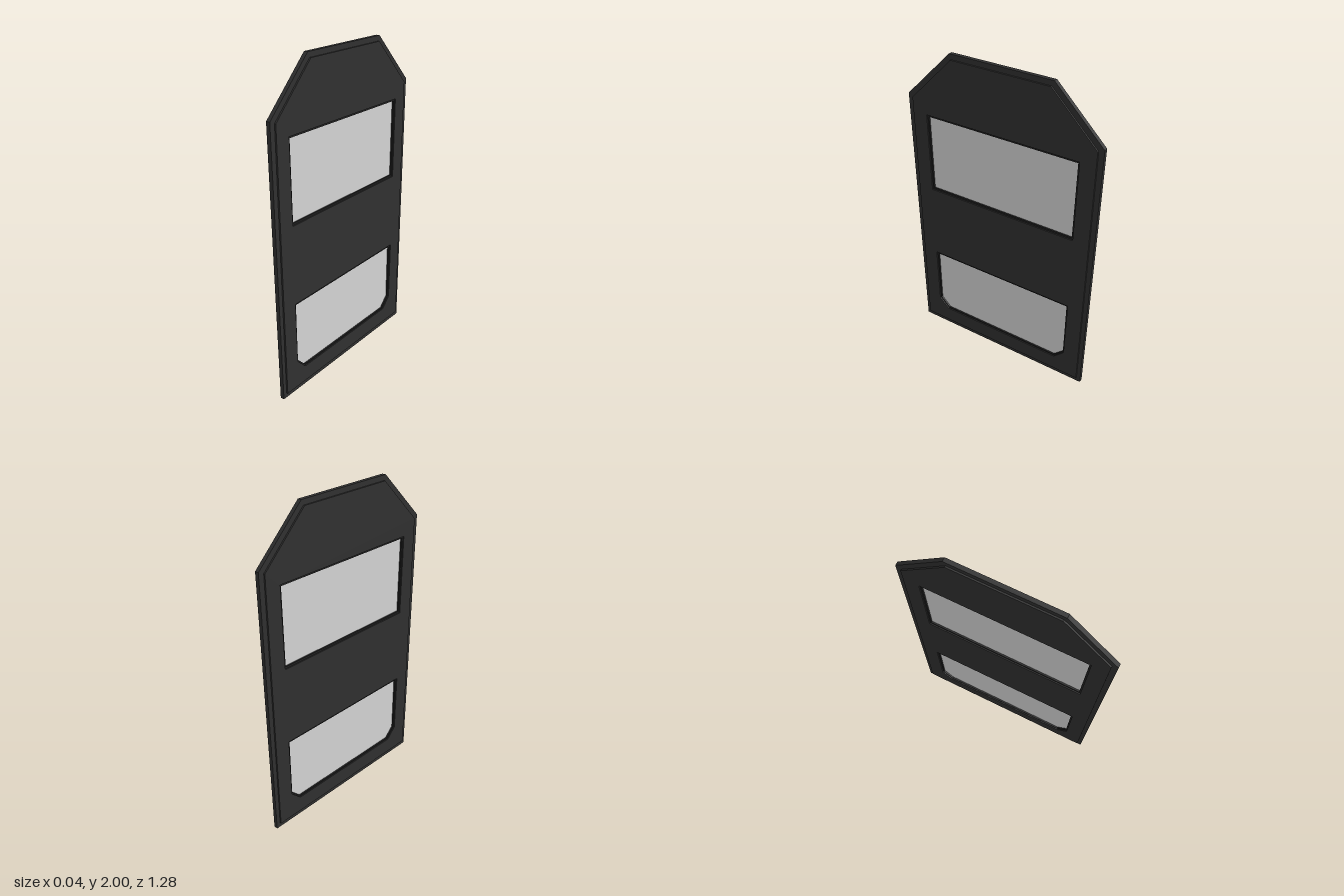
import * as THREE from 'three';

// Closed loop, mirrored about the centre line, from right-half points [across, up]
const loop = (half) => [
  ...half.map(([a, y]) => new THREE.Vector2(a, y)),
  ...half.slice().reverse().map(([a, y]) => new THREE.Vector2(-a, y)),
];

const OUTER = [[0.613, 0], [0.638, 1.695], [0.33, 2]];
const INNER = [[0.588, 0.03], [0.604, 1.68], [0.316, 1.968]];
const UPPER_OPENING = [[0.497, 1.08], [0.506, 1.59]];
const UPPER_GLASS = [[0.487, 1.092], [0.495, 1.578]];
const LOWER_OPENING = [[0.42, 0.132], [0.488, 0.2], [0.495, 0.592]];
const LOWER_GLASS = [[0.415, 0.14], [0.48, 0.204], [0.484, 0.58]];

export function createModel() {
  const group = new THREE.Group();
  group.name = 'door';
  const frame = new THREE.MeshStandardMaterial({ color: 0x303030 });
  frame.name = 'dark frame';
  const rubber = new THREE.MeshStandardMaterial({ color: 0x202020 });
  rubber.name = 'rubber seal';
  const glass = new THREE.MeshStandardMaterial({ color: 0xd4d4d4 });
  glass.name = 'pale glass';

  // Flat slab centred on x = 0, lying in the yz plane
  function slab(name, outline, holes, thickness, material) {
    const shape = new THREE.Shape(loop(outline));
    for (const h of holes) shape.holes.push(new THREE.Path(loop(h)));
    const geometry = new THREE.ExtrudeGeometry(shape, { depth: thickness, bevelEnabled: false });
    geometry.translate(0, 0, -thickness / 2).rotateY(-Math.PI / 2);
    const mesh = new THREE.Mesh(geometry, material);
    mesh.name = name;
    group.add(mesh);
  }

  // Thin flange around a thicker door leaf
  const openings = [UPPER_OPENING, LOWER_OPENING];
  slab('edgeFlange', OUTER, openings, 0.025, frame);
  slab('doorLeaf', INNER, openings, 0.044, frame);

  // Seals and panes in each opening
  slab('upperSeal', UPPER_OPENING, [UPPER_GLASS], 0.03, rubber);
  slab('lowerSeal', LOWER_OPENING, [LOWER_GLASS], 0.03, rubber);
  slab('upperWindow', UPPER_GLASS, [], 0.009, glass);
  slab('lowerWindow', LOWER_GLASS, [], 0.009, glass);

  return group;
}
